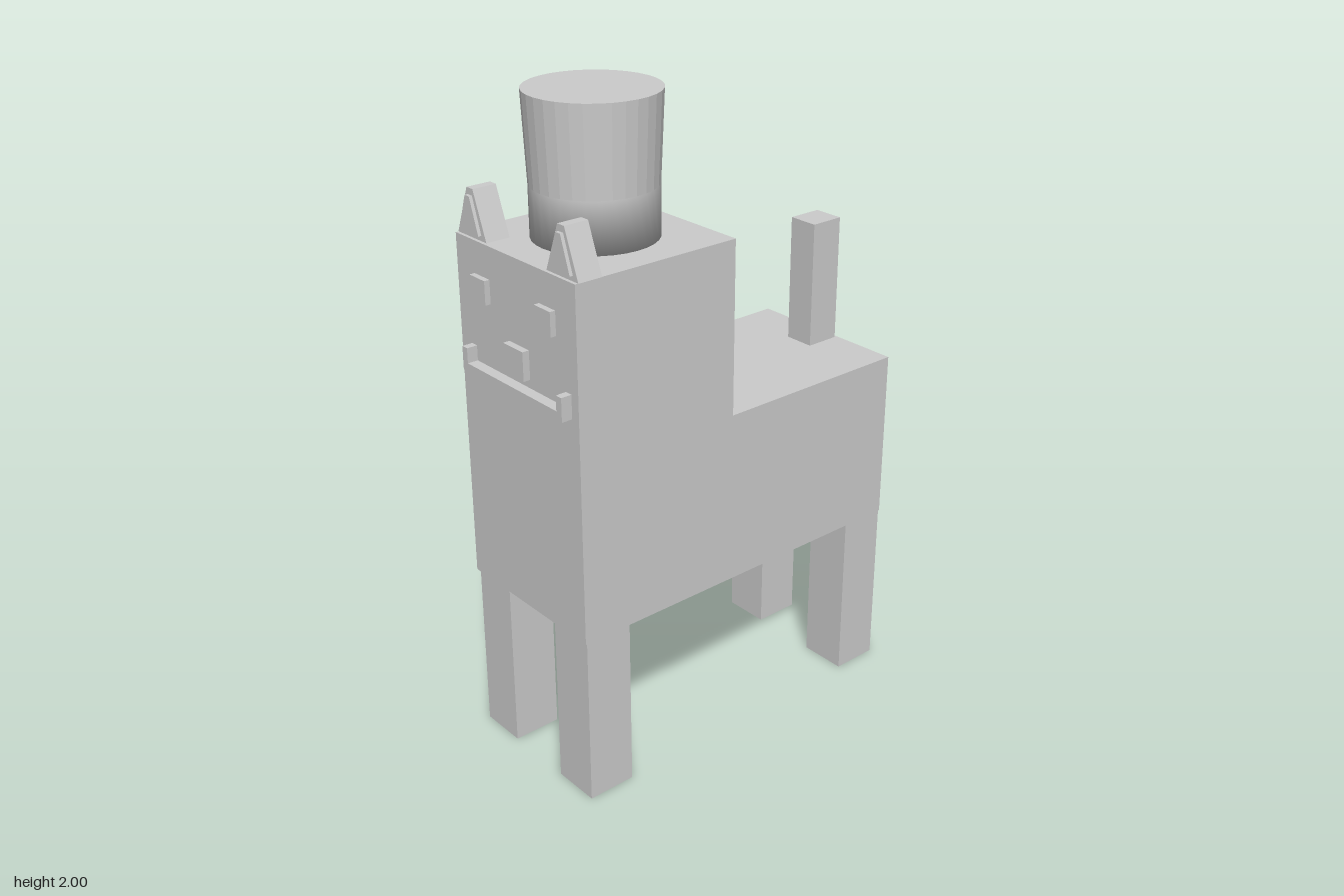
import * as THREE from 'three';

const grey = new THREE.MeshStandardMaterial({ color: 0xcccccc });
const facetedGrey = new THREE.MeshStandardMaterial({ color: 0xcccccc, flatShading: true });

export function createModel() {
  const model = new THREE.Group();

  const add = (name, geometry, parent = model, material = grey) => {
    const mesh = new THREE.Mesh(geometry, material);
    mesh.name = name;
    parent.add(mesh);
    return mesh;
  };

  // Box given by its lower and upper limits on each axis
  const box = (name, [x0, x1], [y0, y1], [z0, z1], parent) => {
    const geometry = new THREE.BoxGeometry(x1 - x0, y1 - y0, z1 - z0);
    geometry.translate((x0 + x1) / 2, (y0 + y1) / 2, (z0 + z1) / 2);
    return add(name, geometry, parent);
  };

  // Outline from points, extruded along its own z
  const slab = (points, depth) => new THREE.ExtrudeGeometry(
    new THREE.Shape(points.map(([x, y]) => new THREE.Vector2(x, y))),
    { depth, bevelEnabled: false });

  // L-shaped body with the raised neck and head
  const body = slab([
    [-0.58, 0.535], [0.604, 0.535], [0.604, 1.07],
    [-0.04, 1.07], [-0.04, 1.595], [-0.58, 1.595],
  ], 0.535);
  body.translate(0, 0, -0.2675);
  add('body', body);

  // Four legs
  for (const [end, xs] of [['front', [-0.574, -0.423]], ['rear', [0.453, 0.602]]]) {
    box(end + 'LegA', xs, [0, 0.535], [0.115, 0.265]);
    box(end + 'LegB', xs, [0, 0.535], [-0.258, -0.108]);
  }

  // Upright tail
  box('tail', [0.485, 0.595], [1.07, 1.465], [-0.05, 0.047]);

  // Tapered ears with a thin inner panel on the face side
  for (const side of [-1, 1]) {
    const ear = new THREE.Group();
    ear.name = side > 0 ? 'earA' : 'earB';
    ear.position.set(-0.495, 1.595, side * 0.202);
    ear.rotation.y = -Math.PI / 2;
    add('outerEar', slab([[-0.067, 0], [0.067, 0], [0.014, 0.137], [-0.014, 0.137]], 0.075), ear);
    const inner = slab([[-0.045, 0.015], [0.045, 0.015], [0.01, 0.118], [-0.01, 0.118]], 0.01);
    add('innerEar', inner, ear).position.z = 0.075;
    model.add(ear);
  }

  // Face: eyes, nose and a bar mouth with upturned ends
  const face = new THREE.Group();
  face.name = 'face';
  model.add(face);
  box('eyeA', [-0.597, -0.57], [1.43, 1.5], [0.11, 0.18], face);
  box('eyeB', [-0.597, -0.57], [1.43, 1.5], [-0.185, -0.115], face);
  box('nose', [-0.601, -0.57], [1.265, 1.35], [-0.033, 0.055], face);
  box('mouthBar', [-0.613, -0.57], [1.215, 1.24], [-0.218, 0.238], face);
  box('mouthEndA', [-0.613, -0.57], [1.215, 1.285], [0.215, 0.238], face);
  box('mouthEndB', [-0.613, -0.57], [1.215, 1.285], [-0.218, -0.195], face);

  // Small crossed bars under the tail
  for (const angle of [-Math.PI / 4, Math.PI / 4]) {
    const bar = add('rumpCross', new THREE.BoxGeometry(0.01, 0.055, 0.01));
    bar.position.set(0.604, 0.937, 0);
    bar.rotation.x = angle;
  }

  // Hat: smooth band below, faceted flaring crown above
  const hat = new THREE.Group();
  hat.name = 'hat';
  hat.position.set(-0.307, 0, 0);
  model.add(hat);
  add('hatBand', new THREE.LatheGeometry(
    [[0, 1.597], [0.178, 1.597], [0.178, 1.745]].map(([r, y]) => new THREE.Vector2(r, y)), 32), hat);
  const crown = new THREE.CylinderGeometry(0.189, 0.178, 0.255, 32);
  crown.translate(0, 1.8725, 0);
  add('hatCrown', crown, hat, facetedGrey);

  return model;
}
